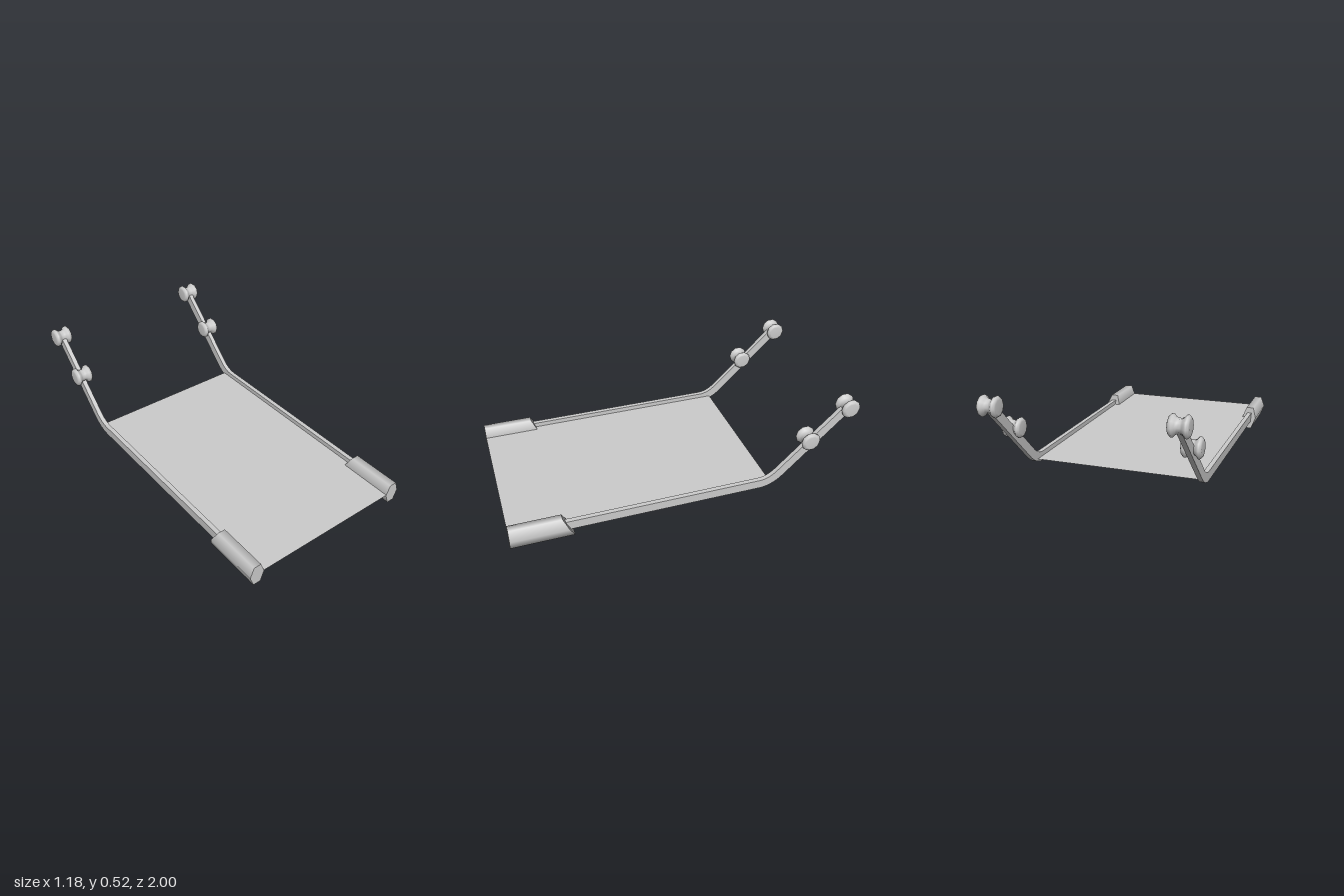
import * as THREE from 'three';

const material = new THREE.MeshStandardMaterial({ color: 0xcccccc });
const sheetMaterial = new THREE.MeshStandardMaterial({ color: 0xcccccc, side: THREE.DoubleSide });

const HALF = 0.466;    // half the spacing between the poles
const FRONT = 0.958;   // front end of handles and sheet
const POLE_Y = 0.062;

// Flat bar that runs level, then bends up at the back
function poleGeometry() {
  const path = new THREE.CurvePath();
  const start = new THREE.Vector2(0.72, POLE_Y);
  const bendIn = new THREE.Vector2(-0.415, POLE_Y);
  const corner = new THREE.Vector2(-0.481, POLE_Y);
  const bendOut = new THREE.Vector2(-0.535, 0.113);
  const end = new THREE.Vector2(-0.9, 0.46);
  path.add(new THREE.QuadraticBezierCurve(bendIn, corner, bendOut));
  const line = [start, ...path.curves[0].getPoints(8), end];
  const upper = [], lower = [];
  line.forEach((p, i) => {
    const a = line[Math.max(i - 1, 0)], b = line[Math.min(i + 1, line.length - 1)];
    // level ends keep the bar straight outside the bend
    const t = i <= 1 ? new THREE.Vector2(-1, 0)
      : i >= line.length - 2 ? end.clone().sub(bendOut).normalize()
      : b.clone().sub(a).normalize();
    const n = new THREE.Vector2(t.y, -t.x).multiplyScalar(0.0255);
    upper.push(p.clone().add(n));
    lower.push(p.clone().sub(n));
  });
  const shape = new THREE.Shape([...upper, ...lower.reverse()]);
  const depth = 0.026;
  return new THREE.ExtrudeGeometry(shape, { depth, bevelEnabled: false })
    .translate(0, 0, -depth / 2)
    .rotateY(-Math.PI / 2);
}

// Six-sided grip with a slanted back end
function handleGeometry() {
  const g = new THREE.CylinderGeometry(1, 1, 1, 6);
  g.rotateY(Math.PI / 2).rotateX(Math.PI / 2).scale(0.0425, 0.0676, 1);
  const p = g.attributes.position;
  for (let i = 0; i < p.count; i++) {
    p.setZ(i, p.getZ(i) > 0 ? FRONT : 0.65 + p.getY(i) * 0.5);
  }
  return g.translate(0, 0.0588, 0);
}

// Waisted roller lying across the pole
function rollerGeometry() {
  const half = [[0, 0.051], [0.036, 0.051], [0.046, 0.047], [0.054, 0.038], [0.053, 0.029], [0.041, 0.018], [0.036, 0.008]];
  const profile = [
    ...half.map(([r, h]) => new THREE.Vector2(r, -h)),
    ...half.slice().reverse().map(([r, h]) => new THREE.Vector2(r, h)),
  ];
  return new THREE.LatheGeometry(profile, 10).rotateZ(Math.PI / 2);
}

export function createModel() {
  const model = new THREE.Group();
  model.name = 'stretcher';
  const frame = new THREE.Group();
  frame.name = 'frame';
  frame.position.x = -0.008;
  frame.rotation.y = -THREE.MathUtils.degToRad(4.8);
  model.add(frame);

  const add = (parent, name, geometry, x = 0, y = 0, z = 0, mat = material) => {
    const mesh = new THREE.Mesh(geometry, mat);
    mesh.name = name;
    mesh.position.set(x, y, z);
    parent.add(mesh);
  };

  // Thin sheet between the poles
  const back = -0.484;
  add(frame, 'sheet', new THREE.PlaneGeometry(HALF * 2, FRONT - back).rotateX(-Math.PI / 2),
    0, POLE_Y, (FRONT + back) / 2, sheetMaterial);

  // One pole with its grip and two rollers per side
  const pole = poleGeometry(), handle = handleGeometry(), roller = rollerGeometry();
  for (const side of [-1, 1]) {
    const group = new THREE.Group();
    group.name = side > 0 ? 'leftSide' : 'rightSide';
    group.position.x = side * HALF;
    add(group, 'pole', pole);
    add(group, 'handle', handle);
    add(group, 'lowerRoller', roller, 0, 0.305, -0.69);
    add(group, 'upperRoller', roller, 0, 0.472, -0.906);
    frame.add(group);
  }
  return model;
}
